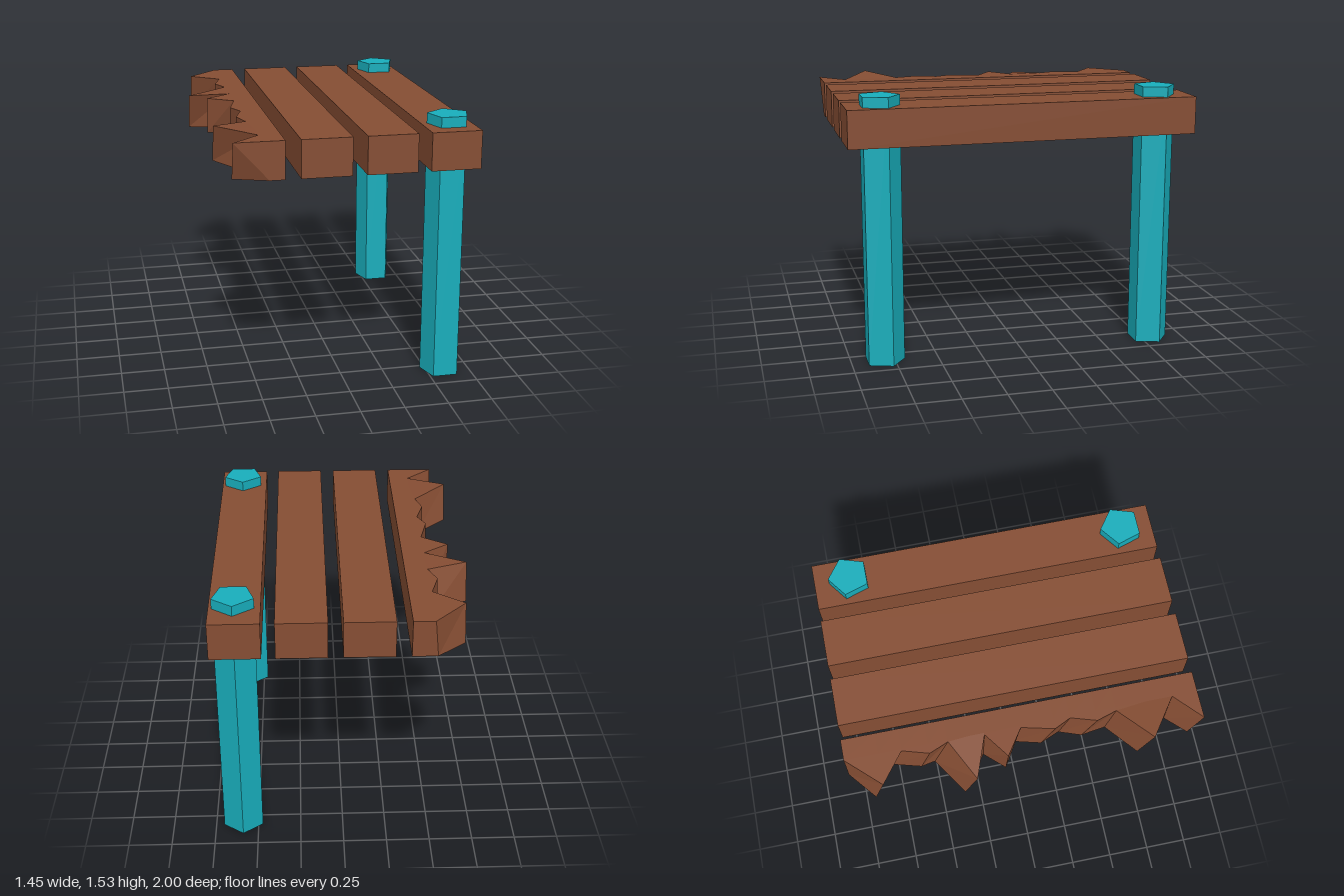
import * as THREE from 'three';

const TOP = 1.476, BOTTOM = 1.262;
const wood = new THREE.MeshStandardMaterial({ color: 0x854d33, flatShading: true });
const teal = new THREE.MeshStandardMaterial({ color: 0x18adbb, flatShading: true });

// Splintered edge, back to front: [topX, topZ, bottomX, bottomZ, lift]
const SPLINTERS = [
  [-0.48, -1, -0.5, -1, 0],
  [-0.66, -0.81, -0.66, -0.87, 0],
  [-0.49, -0.68, -0.49, -0.75, 0],
  [-0.535, -0.53, -0.535, -0.59, 0],
  [-0.49, -0.42, -0.52, -0.51, 0],
  [-0.725, -0.3, -0.725, -0.375, -0.02],
  [-0.49, -0.215, -0.535, -0.235, 0],
  [-0.637, -0.11, -0.637, -0.125, 0],
  [-0.49, -0.01, -0.49, -0.07, 0],
  [-0.535, 0.175, -0.535, 0.1, 0],
  [-0.49, 0.27, -0.49, 0.21, 0],
  [-0.535, 0.415, -0.535, 0.335, 0],
  [-0.5, 0.53, -0.515, 0.475, 0],
  [-0.7, 0.7, -0.7, 0.62, 0.024],
  [-0.48, 0.855, -0.53, 0.82, 0],
  [-0.637, 1, -0.637, 0.93, 0],
  [-0.637, 1, -0.445, 1, 0],
];

// Loft of cross-sections running along z, closed at both ends
function brokenPlankGeometry() {
  const edge = -0.36, spine = -0.48;
  const rings = SPLINTERS.map(([tx, tz, bx, bz, lift]) => [
    [edge, TOP, tz],
    [Math.max(spine, tx), TOP, tz],
    [tx, TOP + lift, tz],
    [bx, BOTTOM + lift, bz],
    [Math.max(spine, bx), BOTTOM, bz],
    [edge, BOTTOM, bz],
  ]);
  const pos = [];
  const tri = (a, b, c) => pos.push(...a, ...b, ...c);
  const n = rings[0].length, first = rings[0], last = rings[rings.length - 1];
  for (let i = 0; i < rings.length - 1; i++) {
    for (let j = 0; j < n; j++) {
      const k = (j + 1) % n, a = rings[i], b = rings[i + 1];
      tri(a[j], a[k], b[j]);
      tri(a[k], b[k], b[j]);
    }
  }
  for (let j = 1; j < n - 1; j++) {
    tri(last[0], last[j], last[j + 1]);
    tri(first[0], first[j + 1], first[j]);
  }
  const geometry = new THREE.BufferGeometry();
  geometry.setAttribute('position', new THREE.Float32BufferAttribute(pos, 3));
  geometry.computeVertexNormals();
  return geometry;
}

export function createModel() {
  const group = new THREE.Group();
  const add = (name, geometry, material, x, y, z) => {
    const mesh = new THREE.Mesh(geometry, material);
    mesh.name = name;
    mesh.position.set(x, y, z);
    group.add(mesh);
    return mesh;
  };

  // Whole planks
  const plank = new THREE.BoxGeometry(0.28, TOP - BOTTOM, 2);
  [-0.136, 0.225, 0.58].forEach((x, i) =>
    add(`plank${i + 1}`, plank, wood, x, (TOP + BOTTOM) / 2, 0));

  // Plank with the splintered edge
  add('brokenPlank', brokenPlankGeometry(), wood, 0, 0, 0);

  // Five-sided posts passing through the outer plank, point towards the back
  const post = new THREE.CylinderGeometry(0.12, 0.12, 1.535, 5).rotateY(Math.PI);
  add('frontPost', post, teal, 0.588, 1.535 / 2, 0.81);
  add('backPost', post, teal, 0.588, 1.535 / 2, -0.795);

  return group;
}
